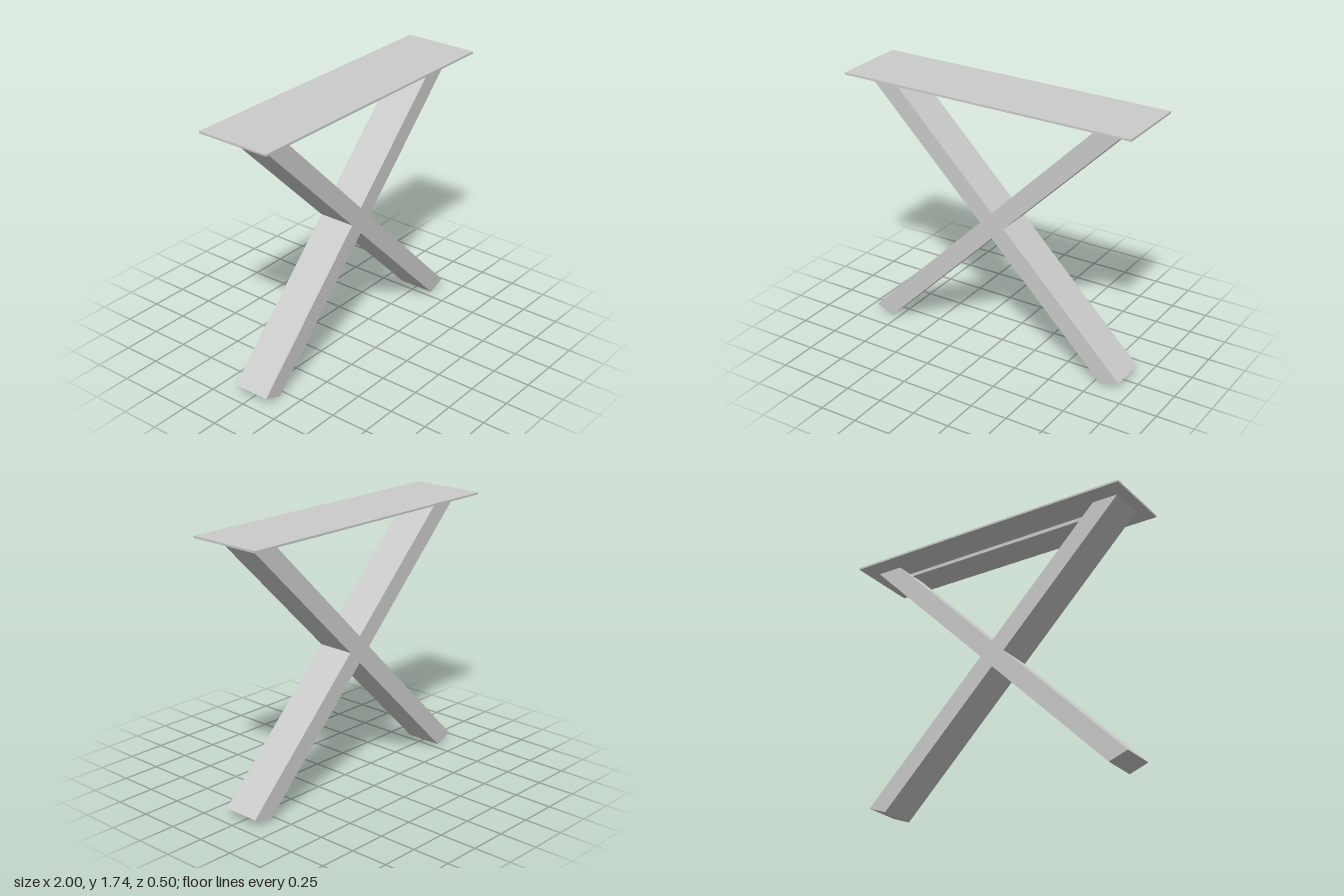
import * as THREE from 'three';

export function createModel() {
  const group = new THREE.Group();
  const material = new THREE.MeshStandardMaterial({ color: 0xcccccc, flatShading: true });

  const add = (name, geometry, y) => {
    const mesh = new THREE.Mesh(geometry, material);
    mesh.name = name;
    mesh.position.y = y;
    group.add(mesh);
  };

  // Crossed legs: right half of the X outline, mirrored to the left
  const half = [
    [0, 0.8], [0.8, 0], [0.925, 0.047], [0.086, 0.888],
    [0.925, 1.727], [0.75, 1.727], [0, 0.975],
  ];
  const mirrored = half.slice(1, -1).reverse().map(([x, y]) => [-x, y]);
  const outline = new THREE.Shape([...half, ...mirrored].map(([x, y]) => new THREE.Vector2(x, y)));
  const depth = 0.246;
  const legs = new THREE.ExtrudeGeometry(outline, { depth, bevelEnabled: false });
  legs.translate(0, 0, -depth / 2);
  add('crossedLegs', legs, 0);

  // Mounting plate on top, stiffened by a thin rib between the legs
  add('topPlate', new THREE.BoxGeometry(2, 0.013, 0.5), 1.7335);
  add('stiffeningRib', new THREE.BoxGeometry(1.5, 0.025, 0.022), 1.7155);

  return group;
}
